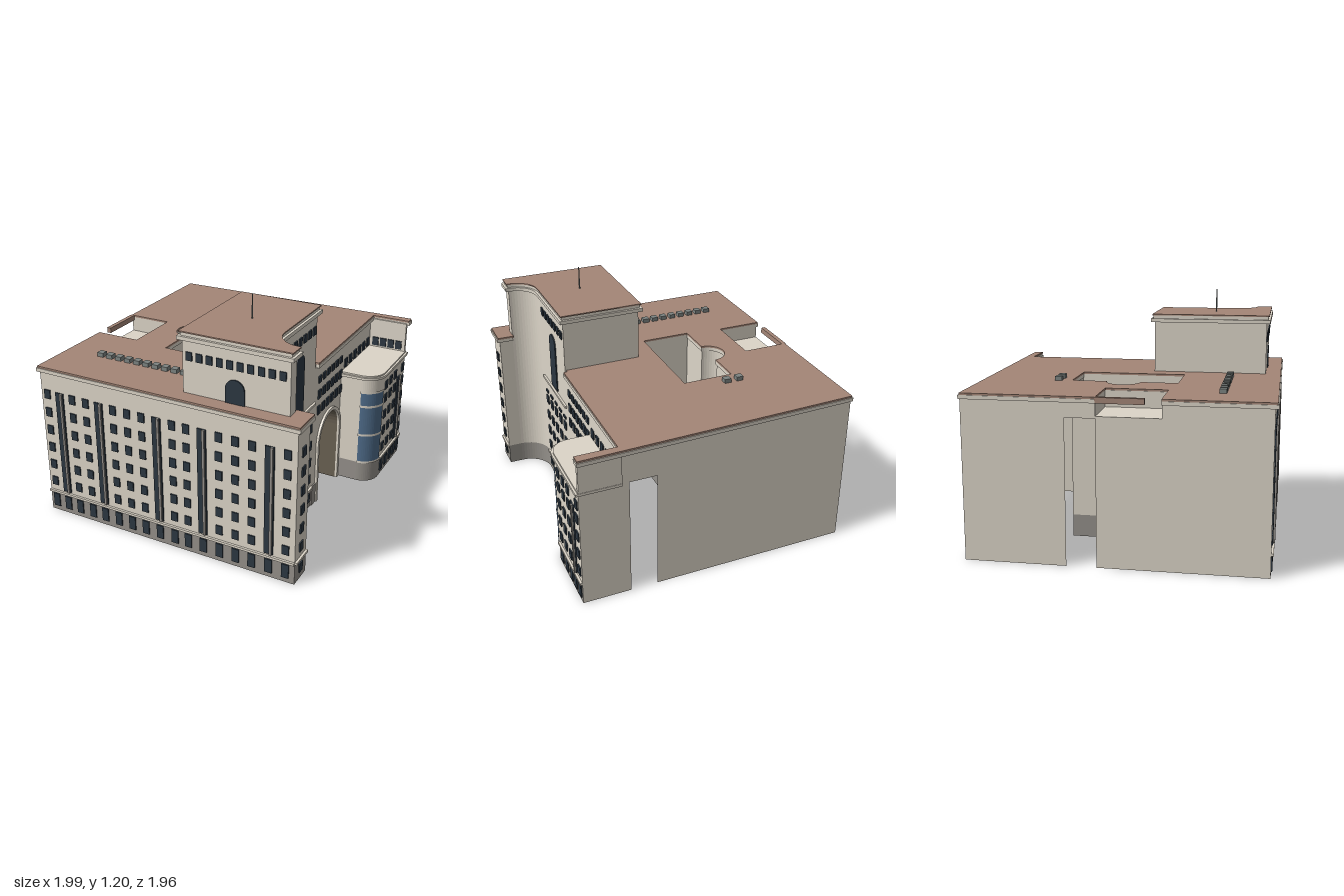
import * as THREE from 'three';
import { mergeGeometries } from 'three/addons/utils/BufferGeometryUtils.js';

const mat = (name, color) => new THREE.MeshStandardMaterial({ name, color, side: THREE.DoubleSide });

export function createModel() {
  const stone = mat('cream stone', 0xdcd5c8), plinth = mat('grey plinth', 0x94908a);
  const brown = mat('brown roof', 0xa48677), pane = mat('dark window', 0x2c3741);
  const blue = mat('blue glass', 0x4f6c8a), shade = mat('passage lining', 0x6a6153);
  const metal = mat('grey metal', 0x7d8482);

  const model = new THREE.Group();
  const block = new THREE.Group(); // plan aligned with its own walls, then turned
  block.name = 'building';
  block.rotation.y = 0.695;
  model.add(block);

  const add = (name, geo, material, parent = block) => {
    const m = new THREE.Mesh(geo, material);
    m.name = name;
    parent.add(m);
    return m;
  };
  // strip of faces between two matching paths
  const ribbon = (a, b) => {
    const p = [];
    for (let i = 0; i < a.length - 1; i++)
      p.push(...a[i], ...a[i + 1], ...b[i + 1], ...a[i], ...b[i + 1], ...b[i]);
    const g = new THREE.BufferGeometry();
    g.setAttribute('position', new THREE.Float32BufferAttribute(p, 3));
    g.computeVertexNormals();
    return g;
  };
  // upright wall over a plan path of [x, z] points
  const wall = (name, path, y0, y1, material = stone) =>
    add(name, ribbon(path.map(([x, z]) => [x, y0, z]), path.map(([x, z]) => [x, y1, z])), material);
  const wallOnPlinth = (name, path, y1) => {
    wall(name + 'Plinth', path, 0, 0.11, plinth);
    wall(name, path, 0.11, y1);
  };
  const toShape = pts => new THREE.Shape(pts.map(([x, y]) => new THREE.Vector2(x, y)));
  const slab = (name, plan, y0, y1, material, hole) => {
    const s = toShape(plan);
    if (hole) s.holes.push(toShape(hole));
    const g = new THREE.ExtrudeGeometry(s, { depth: y1 - y0, bevelEnabled: false });
    return add(name, g.rotateX(Math.PI / 2).translate(0, y1, 0), material);
  };
  const box = (name, w, h, d, x, y, z, material, parent) =>
    add(name, new THREE.BoxGeometry(w, h, d).translate(x, y, z), material, parent);
  const arc = (cx, cy, r, a0, a1, n = 14) => Array.from({ length: n + 1 }, (_, i) => {
    const a = (a0 + (a1 - a0) * i / n) * Math.PI / 180;
    return [cx + r * Math.cos(a), cy + r * Math.sin(a)];
  });
  // arched outline standing on y0
  const archPts = (x, r, y0, top) => [[x + r, y0], ...arc(x, top - r, r, 0, 180, 20), [x - r, y0]];
  // group whose x runs along a wall (left to right from outside) and z points outward
  const facade = (name, a, b) => {
    const g = new THREE.Group();
    g.name = name;
    g.position.set(a[0], 0, a[1]);
    g.rotation.y = Math.atan2(-(b[1] - a[1]), b[0] - a[0]);
    block.add(g);
    return g;
  };
  const windows = (parent, cols, rows, w = 0.034, h = 0.046) => {
    const list = [];
    for (const x of cols) for (const y of rows)
      list.push(new THREE.BoxGeometry(w, h, 0.008).translate(x, y, 0.002));
    add('windows', mergeGeometries(list), pane, parent);
  };
  const tallRecess = (parent, x, y0, y1) => {
    box('tallWindow', 0.045, y1 - y0, 0.008, x, (y0 + y1) / 2, 0.002, pane, parent);
    box('pilaster', 0.012, y1 - y0, 0.014, x + 0.012, (y0 + y1) / 2, 0.007, plinth, parent);
  };
  const band = (parent, len, y, h = 0.012) => box('stringCourse', len, h, 0.014, len / 2, y, 0.004, stone, parent);
  const spread = (a, b, n) => Array.from({ length: n }, (_, i) => a + (b - a) * i / (n - 1));
  const ROWS = [0.17, 0.265, 0.36, 0.455, 0.55, 0.645], LOW = ROWS.slice(0, 4), BASE = [0.06];

  // outer walls, with openings in the back and right sides
  const curve = arc(-0.45, 0.585, 0.13, 180, 270);
  wallOnPlinth('leftWall', [[-0.70, -0.69], [-0.70, 0.655], [-0.58, 0.655], [-0.58, 0.585]], 0.765);
  wall('backWallLeft', [[-0.70, -0.69], [-0.215, -0.69]], 0, 0.765);
  wall('backWallMiddle', [[-0.215, -0.69], [0.08, -0.69]], 0, 0.70);
  wall('backLintel', [[0.08, -0.69], [0.22, -0.69]], 0.69, 0.765);
  wall('backWallRight', [[0.22, -0.69], [0.70, -0.69], [0.70, 0.29]], 0, 0.765);
  wall('rightLintel', [[0.70, 0.29], [0.70, 0.42]], 0.6, 0.765);
  wall('rightWallFront', [[0.70, 0.42], [0.70, 0.655]], 0, 0.765);
  box('rightScreen', 0.02, 0.17, 0.2, 0.695, 0.685, 0.555, stone);
  wall('frontWallRight', [[0.28, 0.455], [0.70, 0.455]], 0, 0.765);

  // courtyard with a round bay
  const court = (o) => [[-0.235 - o, -0.28 - o], [-0.235 - o, -0.03 + o], [0.28 + o, -0.03 + o], [0.28 + o, -0.28 - o],
    ...arc(0.028, -0.28 - o, 0.082 + o, 0, -180, 20)];
  const yard = court(0.005);
  wallOnPlinth('courtyardWall', [...yard, yard[0]], 0.765);

  // main cornice and roof
  const roofPlan = [[-0.715, -0.70], [-0.715, 0.67], [-0.565, 0.67], [-0.565, 0.585],
    ...arc(-0.45, 0.585, 0.135, 180, 270), [-0.055, 0.45], [-0.055, 0.47], [0.695, 0.47], [0.695, 0.668],
    [0.74, 0.668], [0.705, -0.70], [0.08, -0.70], [0.08, -0.47], [-0.215, -0.47], [-0.215, -0.70]];
  slab('mainCornice', roofPlan, 0.76, 0.778, stone, court(0));
  slab('mainRoof', roofPlan.map(([x, z]) => [x * 0.994, z * 0.994]), 0.778, 0.787, brown, court(0));

  // sunken terrace at the back
  const terrace = [[-0.215, -0.69], [-0.215, -0.47], [0.08, -0.47], [0.08, -0.69]];
  slab('terraceRoof', terrace, 0.69, 0.70, stone);
  wall('terraceWall', terrace, 0.70, 0.765);
  box('terraceCornice', 0.22, 0.027, 0.022, -0.03, 0.7735, -0.69, brown);

  // tower
  wallOnPlinth('towerFront', [...curve, [-0.07, 0.455]], 1.045);
  wall('towerWalls', [[-0.58, 0.585], [-0.635, 0.585], [-0.635, 0.065], [-0.07, 0.065], [-0.07, 0.455]], 0.76, 1.045);
  const towerPlan = o => [[-0.635 - o, 0.065 - o], [-0.635 - o, 0.585 + o], [-0.58 + o, 0.585 + o],
    ...arc(-0.45, 0.585, 0.13 - o, 180, 270), [-0.07 + o, 0.455 + o], [-0.07 + o, 0.065 - o]];
  slab('towerCornice', towerPlan(0.018), 1.04, 1.058, stone);
  slab('towerParapet', towerPlan(0.006), 1.058, 1.074, stone);
  slab('towerRoof', towerPlan(0.012), 1.074, 1.08, brown);
  add('mast', new THREE.CylinderGeometry(0.0025, 0.004, 0.12, 6).translate(-0.366, 1.135, 0.267), metal);

  const archedWindow = (parent, x) => {
    const g = new THREE.ExtrudeGeometry(toShape(archPts(x, 0.047, 0.60, 0.90)), { depth: 0.006, bevelEnabled: false });
    add('archedWindow', g, pane, parent);
  };
  const tf = facade('towerFrontDetails', [-0.45, 0.455], [-0.07, 0.455]);
  windows(tf, spread(0.035, 0.345, 7), [0.965], 0.03, 0.04);
  windows(tf, spread(0.04, 0.34, 5), [...LOW, ...BASE], 0.036);
  windows(tf, spread(0.04, 0.34, 5), [0.505], 0.036, 0.014);
  archedWindow(tf, 0.192);
  band(tf, 0.38, 0.58);
  band(tf, 0.38, 0.11);
  const tl = facade('towerLeftDetails', [-0.635, 0.065], [-0.635, 0.585]);
  windows(tl, spread(0.035, 0.485, 10), [0.965], 0.03, 0.04);
  archedWindow(tl, 0.26);

  // long left facade: columns of windows between tall recesses
  const lf = facade('leftDetails', [-0.70, -0.69], [-0.70, 0.655]);
  const recesses = [0.107, 0.332, 0.648, 0.883, 1.217];
  const columns = [0.035, 0.18, 0.258, 0.412, 0.49, 0.568, 0.73, 0.803, 0.968, 1.05, 1.132, 1.30];
  windows(lf, columns, ROWS);
  windows(lf, [...columns, ...recesses], BASE, 0.036, 0.07);
  recesses.forEach(x => tallRecess(lf, x, 0.125, 0.665));
  band(lf, 1.345, 0.11);
  const ef = facade('endDetails', [-0.70, 0.655], [-0.58, 0.655]);
  windows(ef, [0.06], [...ROWS, ...BASE]);
  band(ef, 0.12, 0.11);

  // gateway wall with a deep arch
  const gate = archPts(0.125, 0.13, 0, 0.45);
  const gateWall = [[-0.07, 0], [-0.07, 0.765], [0.28, 0.765], [0.28, 0], ...gate];
  add('gateWall', new THREE.ShapeGeometry(toShape(gateWall)).translate(0, 0, 0.455), stone);
  add('gateLining', ribbon(gate.map(([x, y]) => [x, y, 0.455]), gate.map(([x, y]) => [x, y, 0.295])), shade);
  add('gateDoor', new THREE.ShapeGeometry(toShape(gate)).translate(0, 0, 0.296), pane);
  const trim = toShape([...archPts(0.125, 0.148, 0, 0.468), ...archPts(0.125, 0.13, 0, 0.45).reverse()]);
  add('gateTrim', new THREE.ExtrudeGeometry(trim, { depth: 0.012, bevelEnabled: false }).translate(0, 0, 0.455), stone);
  box('gatePlinth', 0.05, 0.11, 0.008, -0.045, 0.055, 0.457, plinth);
  const gf = facade('gateDetails', [-0.07, 0.455], [0.28, 0.455]);
  windows(gf, spread(0.06, 0.33, 6), [0.685], 0.032, 0.036);
  windows(gf, spread(0.06, 0.33, 6), [0.605], 0.034, 0.045);
  windows(gf, spread(0.11, 0.28, 4), [0.52], 0.034, 0.045);
  windows(gf, [0.055, 0.335], [0.52], 0.03, 0.045);
  const uf = facade('upperDetails', [0.28, 0.455], [0.70, 0.455]);
  windows(uf, spread(0.05, 0.37, 6), [0.645]);
  const sf = facade('screenDetails', [0.685, 0.455], [0.685, 0.655]);
  windows(sf, spread(0.035, 0.165, 4), [0.645]);

  // projecting bay with a rounded glass corner
  const bayPlan = o => [[0.28 - o, 0.455], ...arc(0.37, 0.565, 0.09 + o, 180, 90), [0.70 + o / 2, 0.655 + o], [0.70 + o / 2, 0.455]];
  wallOnPlinth('bayWall', bayPlan(0).slice(0, -1), 0.6);
  slab('bayCornice', bayPlan(0.014), 0.592, 0.605, stone);
  slab('bayRoof', bayPlan(0.004), 0.605, 0.613, stone);
  wall('cornerGlass', arc(0.37, 0.565, 0.094, 178, 92), 0.115, 0.52, blue);
  for (const y of [0.115, 0.275, 0.44, 0.52]) wall('glassBand', arc(0.37, 0.565, 0.097, 180, 90), y - 0.006, y + 0.006);
  const bf = facade('bayDetails', [0.37, 0.655], [0.70, 0.655]);
  const bayCols = [0.04, 0.11, 0.18, 0.30];
  windows(bf, bayCols, [...LOW, 0.53]);
  windows(bf, [...bayCols, 0.24], BASE, 0.036, 0.07);
  tallRecess(bf, 0.24, 0.125, 0.5);
  band(bf, 0.33, 0.11);

  // rooftop units
  for (const z of spread(-0.497, -0.03, 10)) box('roofLight', 0.033, 0.025, 0.033, -0.465, 0.795, z, metal);
  for (const z of [-0.287, -0.223]) box('roofVent', 0.033, 0.025, 0.033, 0.343, 0.795, z, metal);

  return model;
}
